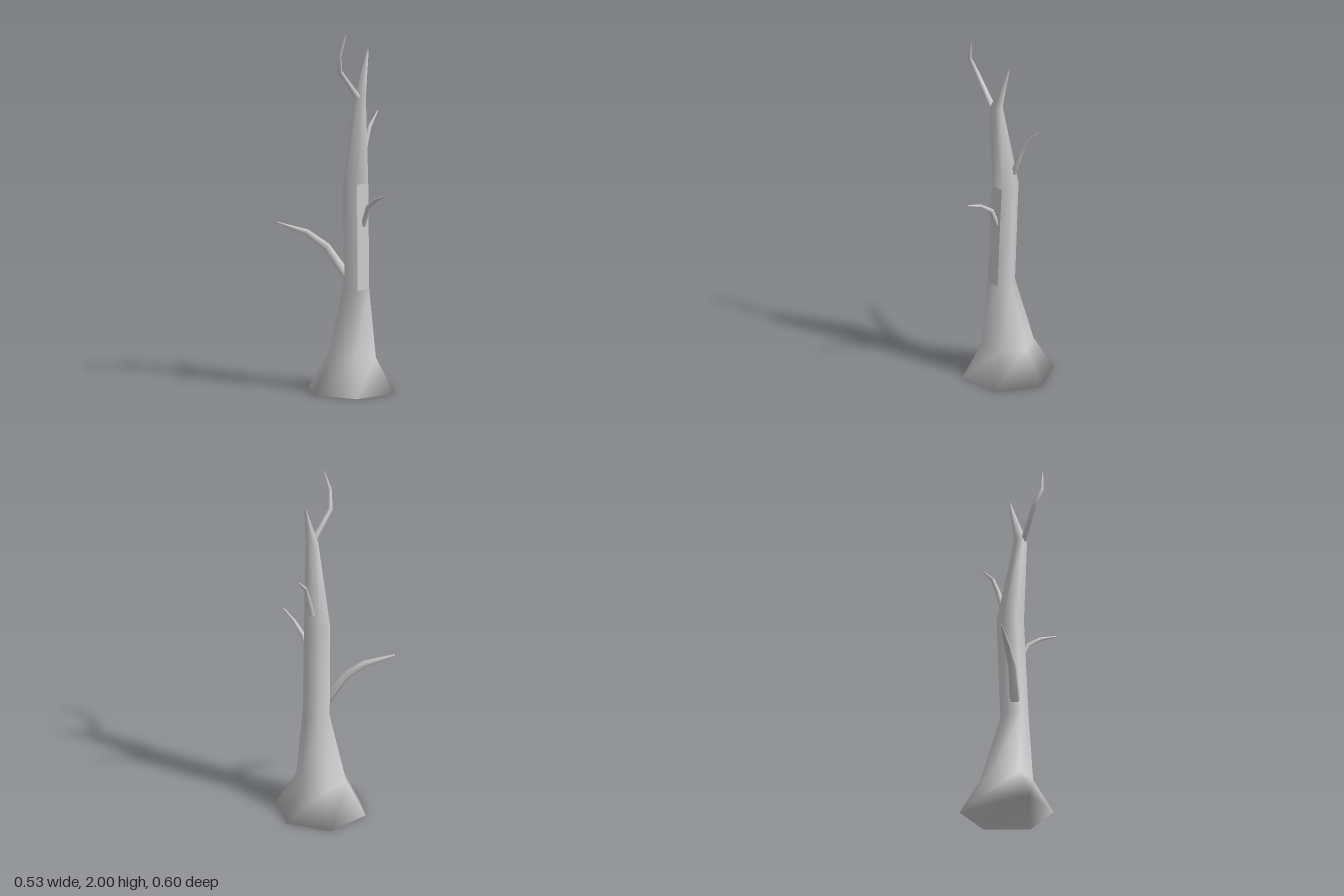
import * as THREE from 'three';

const SIDES = 6;
const UP = new THREE.Vector3(0, 1, 0);
const material = new THREE.MeshStandardMaterial({ color: 0xcccccc });

// Six-sided ring around a centre, facing along dir
function ringPoints([x, y, z, r], dir) {
  const turn = new THREE.Quaternion().setFromUnitVectors(UP, dir);
  return Array.from({ length: SIDES }, (_, i) => {
    const a = (i / SIDES) * Math.PI * 2;
    return new THREE.Vector3(Math.sin(a) * r, 0, Math.cos(a) * r)
      .applyQuaternion(turn).add(new THREE.Vector3(x, y, z));
  });
}

function makeMesh(name, points, index) {
  const geometry = new THREE.BufferGeometry().setFromPoints(points);
  geometry.setIndex(index);
  geometry.computeVertexNormals();
  const mesh = new THREE.Mesh(geometry, material);
  mesh.name = name;
  return mesh;
}

// Smooth closed skin over rings; skip(row, side) leaves a face out
function loft(name, rings, skip = () => false) {
  const points = rings.flat();
  const index = [];
  for (let k = 0; k < rings.length - 1; k++) {
    for (let i = 0; i < SIDES; i++) {
      if (skip(k, i)) continue;
      const a = k * SIDES + i, b = k * SIDES + (i + 1) % SIDES;
      index.push(a, b, b + SIDES, a, b + SIDES, a + SIDES);
    }
  }
  const top = (rings.length - 1) * SIDES;
  for (let i = 1; i < SIDES - 1; i++) {
    index.push(0, i + 1, i);
    index.push(top, top + i, top + i + 1);
  }
  return makeMesh(name, points, index);
}

// Tapering branch along [x, y, z, radius] stations
function branch(name, stations) {
  const pos = stations.map(([x, y, z]) => new THREE.Vector3(x, y, z));
  const rings = stations.map((s, i) => {
    const from = pos[Math.max(i - 1, 0)], to = pos[Math.min(i + 1, pos.length - 1)];
    return ringPoints(s, to.clone().sub(from).normalize());
  });
  return loft(name, rings);
}

export function createModel() {
  const tree = new THREE.Group();
  tree.name = 'deadTree';

  // Trunk: flared root, leaning stem and pointed broken top
  const trunk = [
    [-0.044, 0, -0.045, 0.254],
    [-0.044, 0.19, -0.043, 0.143],
    [0.002, 0.57, -0.04, 0.077],
    [-0.018, 1.15, -0.051, 0.074],
    [0.038, 1.63, -0.038, 0.036],
    [0.012, 1.88, -0.11, 0.005],
  ].map((s) => ringPoints(s, UP));
  tree.add(loft('trunk', trunk, (row, side) => row === 2 && side === 1));

  // Flat bark face on the left side of the stem
  tree.add(makeMesh('barkPanel',
    [trunk[2][1], trunk[2][2], trunk[3][2], trunk[3][1]], [0, 1, 2, 0, 2, 3]));

  // Bare branches
  tree.add(branch('frontBranch', [
    [-0.022, 0.645, 0.01, 0.029], [-0.085, 0.8, 0.095, 0.024],
    [-0.16, 0.876, 0.172, 0.018], [-0.263, 0.926, 0.294, 0.006],
  ]));
  tree.add(branch('leftBranch', [
    [0.045, 0.92, -0.055, 0.015], [0.093, 1.03, -0.055, 0.014],
    [0.167, 1.083, -0.053, 0.01], [0.263, 1.117, -0.047, 0.004],
  ]));
  tree.add(branch('backBranch', [
    [-0.033, 1.23, -0.1, 0.017], [-0.046, 1.35, -0.138, 0.014],
    [-0.06, 1.435, -0.172, 0.011], [-0.084, 1.51, -0.243, 0.004],
  ]));
  tree.add(branch('topBranch', [
    [0.048, 1.63, -0.02, 0.017], [0.046, 1.785, 0.1, 0.014],
    [0.08, 1.885, 0.125, 0.011], [0.098, 1.998, 0.098, 0.004],
  ]));

  return tree;
}
